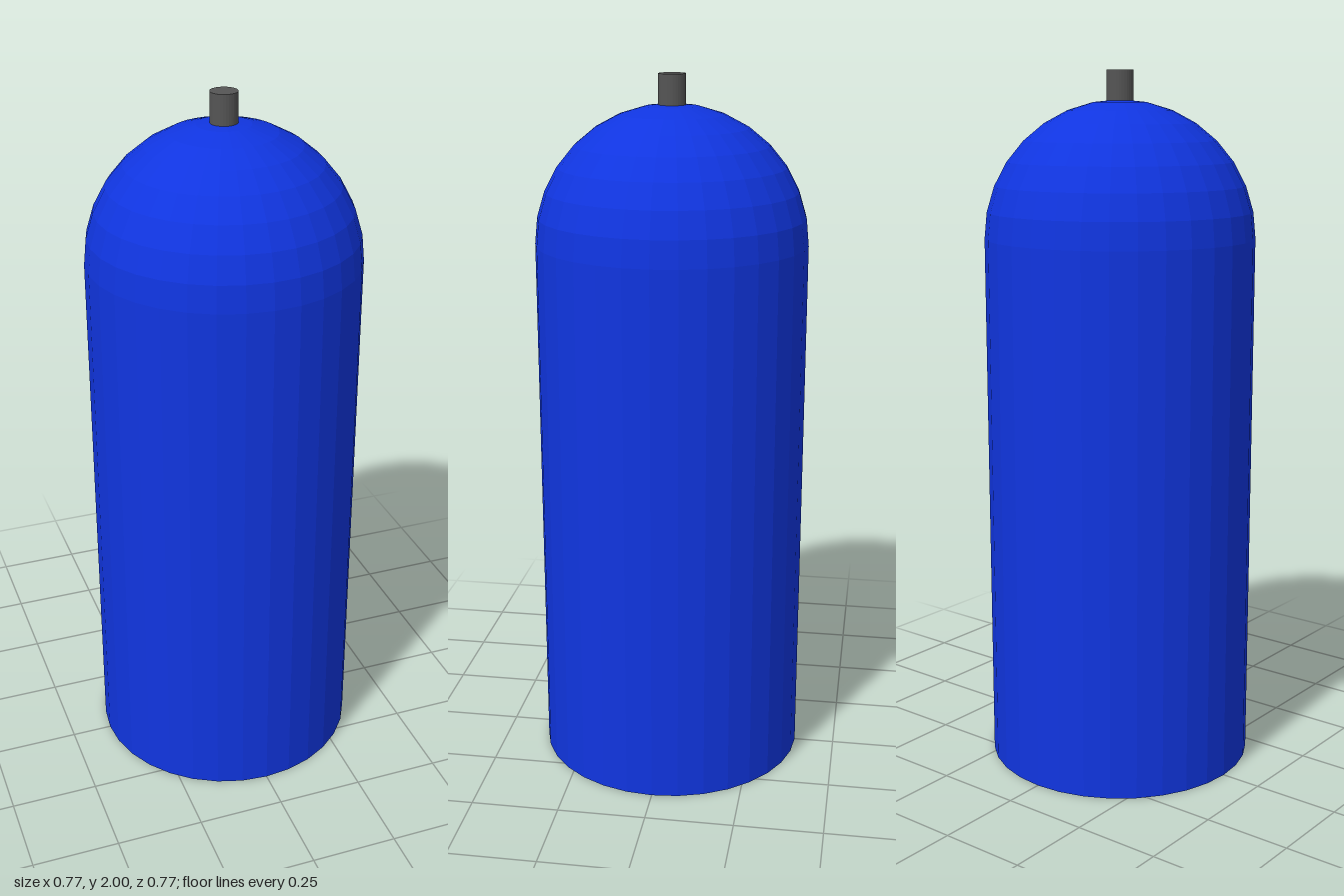
import * as THREE from 'three';

const SIDES = 32;
const RADIUS = 0.383;
const SHOULDER = 1.537; // height where the dome begins

export function createModel() {
  const group = new THREE.Group();
  group.name = 'gasCylinder';

  const blue = new THREE.MeshStandardMaterial({ color: 0x1035e0, flatShading: true });
  const grey = new THREE.MeshStandardMaterial({ color: 0x555555, flatShading: true });

  // Tank: closed base, straight wall and hemispherical dome in one profile
  const profile = [new THREE.Vector2(0, 0), new THREE.Vector2(RADIUS, 0)];
  const rings = 8;
  for (let i = 0; i <= rings; i++) {
    const a = (i / rings) * Math.PI / 2;
    const r = i === rings ? 0 : RADIUS * Math.cos(a);
    profile.push(new THREE.Vector2(r, SHOULDER + RADIUS * Math.sin(a)));
  }
  const tank = new THREE.Mesh(new THREE.LatheGeometry(profile, SIDES), blue);
  tank.name = 'tank';
  group.add(tank);

  // Valve stem, sunk slightly into the dome
  const bottom = 1.9;
  const height = 2 - bottom;
  const stem = new THREE.Mesh(new THREE.CylinderGeometry(0.038, 0.038, height, SIDES), grey);
  stem.name = 'valveStem';
  stem.position.y = bottom + height / 2;
  group.add(stem);

  return group;
}
